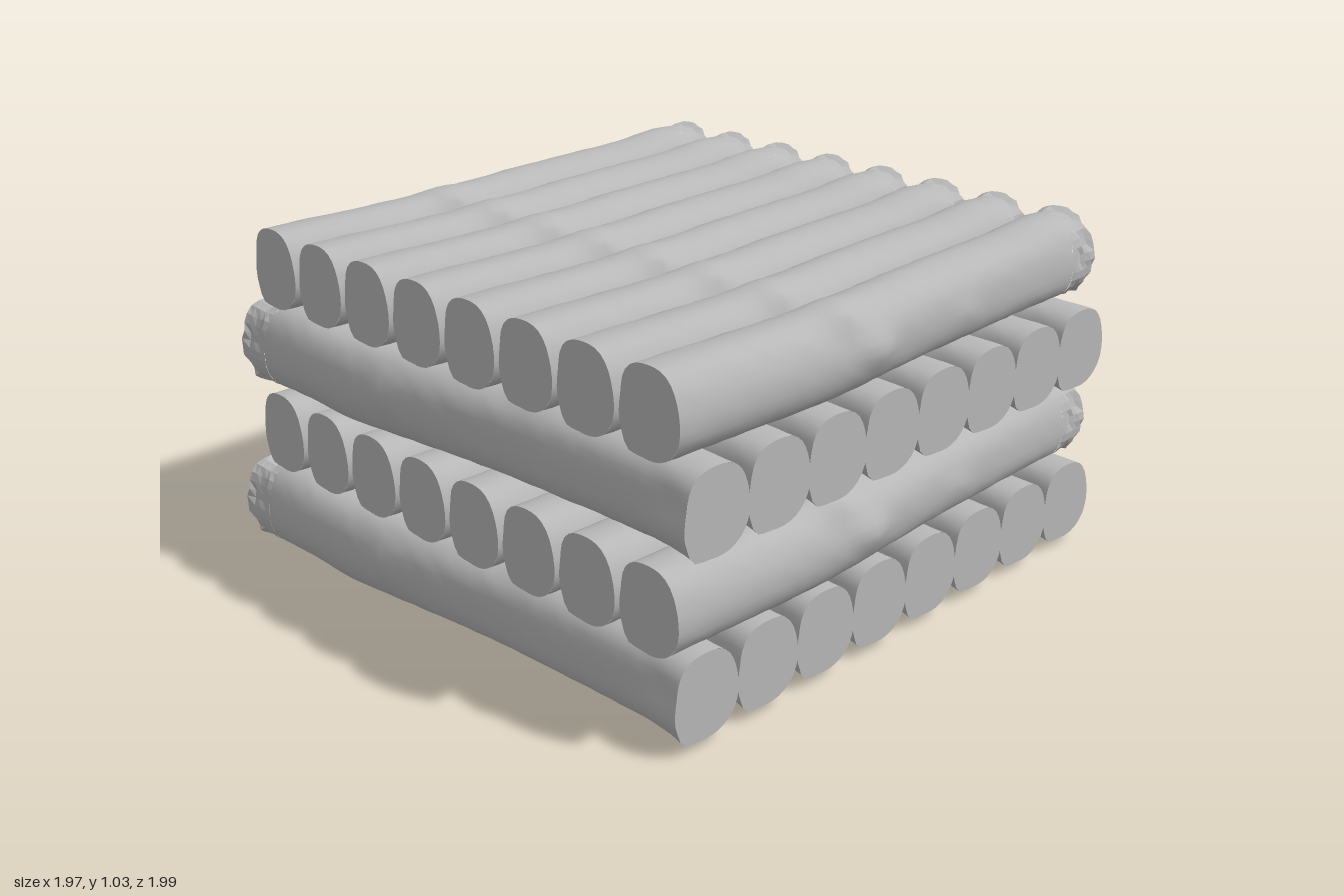
import * as THREE from 'three';

const SIDES = 32;
const LOGS = 8;
const FRONT = 0.9;
const TEAR = -0.8;
const BACK = -0.905;

// Bend of a log seen from above: x offset along its length
const bend = new THREE.CatmullRomCurve3([
  [0.002, FRONT], [0, 0.6], [-0.022, 0.25], [-0.052, 0], [-0.103, -0.45], [-0.118, -0.7], [-0.13, BACK],
].map(([x, z]) => new THREE.Vector3(x, 0, z)));

// Knots, swellings and dents: position along the log, angle, height, length, spread
const KNOTS = [
  [0.28, 0.95, 0.024, 0.035, 0.28],
  [0.17, 0.0, 0.022, 0.06, 0.35],
  [-0.25, -0.1, 0.01, 0.06, 0.3],
  [-0.74, 1.57, 0.016, 0.12, 0.6],
  [0.28, 1.5, 0.012, 0.08, 0.5],
  [-0.25, 3.1, 0.01, 0.04, 0.25],
  [0.84, 2.9, -0.012, 0.05, 0.3],
  [0.9, 4.1, 0.014, 0.04, 0.25],
  [-0.45, 4.4, 0.01, 0.15, 0.5],
  [-0.9, 2.2, 0.012, 0.08, 0.4],
];

// Repeatable noise from 0 to 1
function noise(a, b) {
  const s = Math.sin(a * 127.1 + b * 311.7) * 43758.5453;
  return s - Math.floor(s);
}

// Point on the log at distance t (0 front, 1 back), side k, scaled towards the core
function logPoint(t, k, scale = 1, extra = 0) {
  const core = bend.getPoint(t);
  const a = (k / SIDES) * Math.PI * 2;
  const c = Math.cos(a), s = Math.sin(a);
  let r = 1 + 0.025 * Math.cos(3 * a + 0.6) + 0.025 * Math.sin(2 * a) * s
    + 0.012 * Math.sin(5 * a + core.z * 3) + 0.012 * Math.sin(core.z * 9 + a);
  // squarer than a circle, so that neighbours sit flat against each other
  r *= 1 + 0.06 * Math.sin(2 * a) ** 2;
  let bump = extra;
  for (const [z, angle, height, length, spread] of KNOTS) {
    const d = Math.atan2(Math.sin(a - angle), Math.cos(a - angle));
    bump += height * Math.exp(-(((core.z - z) / length) ** 2) - (d / spread) ** 2);
  }
  return new THREE.Vector3(
    core.x + c * (0.109 * r + bump) * scale,
    s * (0.122 * r + bump) * scale,
    core.z,
  );
}

// Skin over a list of rings running from front to back
function skin(rings) {
  const points = rings.flat();
  const index = [];
  for (let j = 0; j < rings.length - 1; j++) {
    for (let k = 0; k < SIDES; k++) {
      const n = (k + 1) % SIDES;
      const a = j * SIDES + k, b = j * SIDES + n;
      index.push(a, a + SIDES, b, b, a + SIDES, b + SIDES);
    }
  }
  const g = new THREE.BufferGeometry().setFromPoints(points);
  g.setIndex(index);
  return g;
}

const ring = (fn) => Array.from({ length: SIDES }, (_, k) => fn(k));

// Curve parameter at which the log reaches a given z
function paramAt(z) {
  let lo = 0, hi = 1;
  for (let i = 0; i < 30; i++) {
    const mid = (lo + hi) / 2;
    if (bend.getPoint(mid).z > z) lo = mid; else hi = mid;
  }
  return lo;
}

function barkGeometry() {
  const rings = [];
  const steps = 44;
  for (let j = 0; j <= steps; j++) {
    const t = paramAt(FRONT + (TEAR - FRONT) * (j / steps));
    rings.push(ring((k) => logPoint(t, k, 1, (noise(j, k) - 0.5) * 0.0025)));
  }
  const g = skin(rings);
  g.computeVertexNormals();
  return g;
}

// Flat sawn face at the front
function sawnGeometry() {
  const g = new THREE.BufferGeometry().setFromPoints([
    new THREE.Vector3(0, 0, FRONT), ...ring((k) => logPoint(0, k))]);
  const index = [];
  for (let k = 0; k < SIDES; k++) index.push(0, 1 + k, 1 + ((k + 1) % SIDES));
  g.setIndex(index);
  g.computeVertexNormals();
  return g;
}

// Ragged broken end at the back, faceted
function tornGeometry() {
  const rings = [];
  const t0 = paramAt(TEAR);
  const wall = 5;
  for (let j = 0; j <= wall; j++) {
    const f = j / wall;
    const t = t0 + (1 - t0) * f;
    rings.push(ring((k) => {
      const p = logPoint(t, k, 1, j ? (noise(j + 70, Math.floor(k / 2)) - 0.6) * 0.014 * (0.3 + f) : 0);
      if (j) p.z += (noise(j + 90, k) - 0.5) * 0.008;
      if (j === wall) p.z -= (noise(3, Math.floor(k / 3)) - 0.5) * 0.025;
      return p;
    }));
  }
  [0.8, 0.6, 0.4, 0.2, 0].forEach((scale, i) => rings.push(ring((k) => {
    const p = logPoint(1, k, scale);
    p.z += scale ? (noise(i + 120, Math.floor(k / 3)) - 0.6) * 0.035 * (0.5 + scale / 2) : 0;
    return p;
  })));
  const g = skin(rings).toNonIndexed();
  g.computeVertexNormals();
  return g;
}

export function createModel() {
  const model = new THREE.Group();
  model.name = 'logStack';

  const wood = new THREE.MeshStandardMaterial({ color: 0xb8b8b8 });
  wood.name = 'greyWood';

  const parts = [
    ['bark', barkGeometry()],
    ['sawnEnd', sawnGeometry()],
    ['tornEnd', tornGeometry()],
  ];

  // Crossed layers: position, quarter turn, slight tilt, log spacing, set-back per log
  const layers = [
    { at: [0.06, 0.147, 0.015], turned: true, tilt: 0.01, spacing: 0.23, setBack: 0.0135 },
    { at: [0.035, 0.4, 0.04], turned: false, tilt: 0, spacing: 0.225, setBack: 0.01 },
    { at: [0.06, 0.65, -0.015], turned: true, tilt: 0.003, spacing: 0.227, setBack: 0.0135 },
    { at: [0, 0.9, 0.005], turned: false, tilt: 0, spacing: 0.225, setBack: 0.01 },
  ];

  layers.forEach(({ at, turned, tilt, spacing, setBack }, n) => {
    const layer = new THREE.Group();
    layer.name = `layer${n + 1}`;
    layer.position.set(...at);
    layer.rotation.set(0, turned ? Math.PI / 2 : 0, tilt, 'ZYX');
    for (let i = 0; i < LOGS; i++) {
      const log = new THREE.Group();
      log.name = `log${i + 1}`;
      log.position.set(-0.745 + i * spacing, 0, -i * setBack);
      for (const [name, geometry] of parts) {
        const mesh = new THREE.Mesh(geometry, wood);
        mesh.name = name;
        log.add(mesh);
      }
      layer.add(log);
    }
    model.add(layer);
  });

  return model;
}
